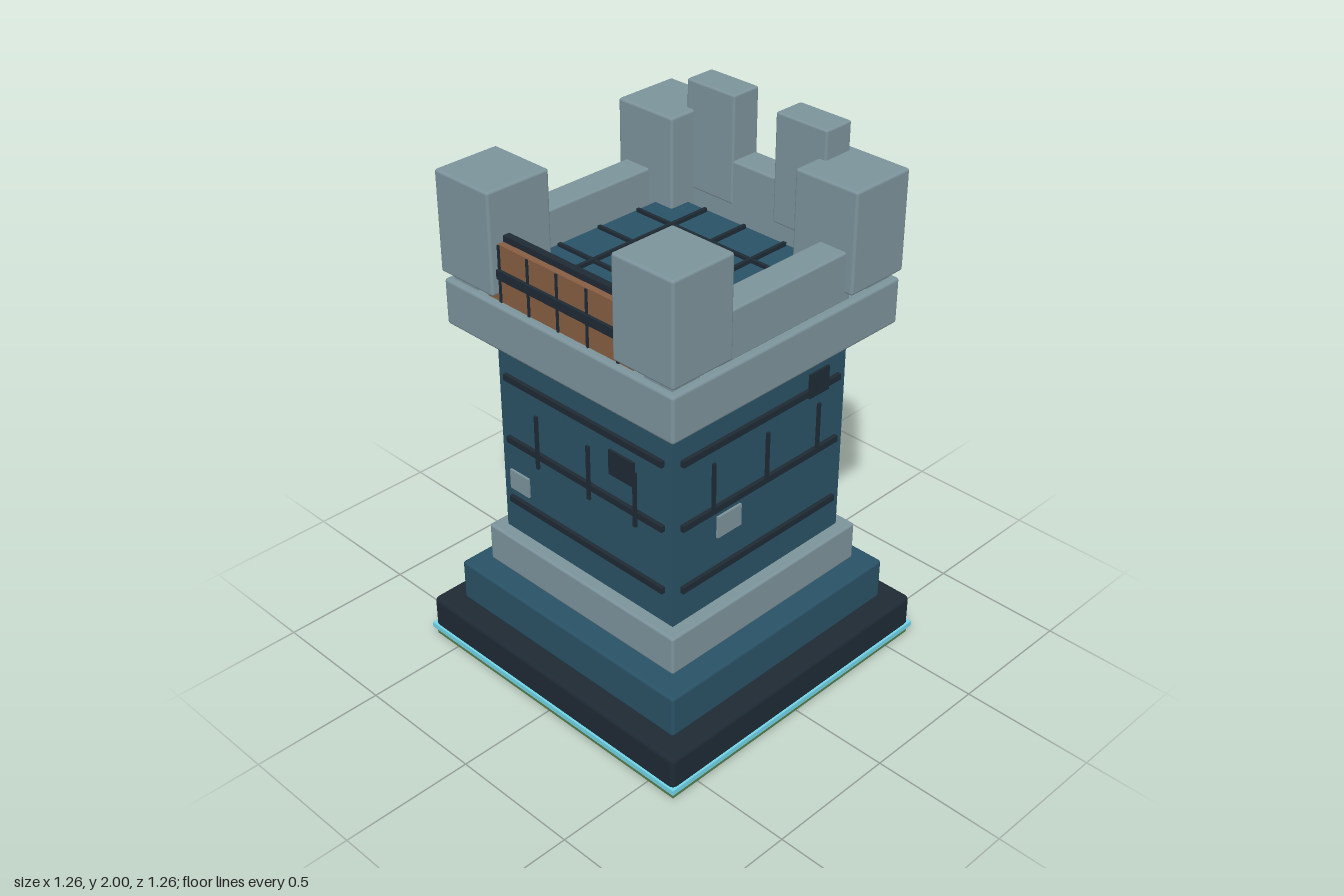
import * as THREE from 'three';
import { RoundedBoxGeometry } from 'three/addons/geometries/RoundedBoxGeometry.js';

const material = (name, color) => {
  const m = new THREE.MeshStandardMaterial({ color });
  m.name = name;
  return m;
};

export function createModel() {
  const stone = material('grey stone', 0x7c939b);
  const blue = material('blue masonry', 0x295165);
  const dark = material('dark slate', 0x1e2a34);
  const wood = material('brown wood', 0x865e42);
  const cyan = material('cyan trim', 0x72d6ea);
  const green = material('green ground', 0x577d4b);

  const tower = new THREE.Group();
  tower.name = 'tower';

  // Box given by its limits on each axis; radius > 0 softens the edges
  function box(name, mat, [x0, x1], [y0, y1], [z0, z1], radius = 0, parent = tower) {
    const size = [x1 - x0, y1 - y0, z1 - z0];
    const geo = radius ? new RoundedBoxGeometry(...size, 2, radius) : new THREE.BoxGeometry(...size);
    const mesh = new THREE.Mesh(geo, mat);
    mesh.name = name;
    mesh.position.set((x0 + x1) / 2, (y0 + y1) / 2, (z0 + z1) / 2);
    parent.add(mesh);
    return mesh;
  }
  const span = (c, w) => [c - w / 2, c + w / 2];
  const square = (name, mat, half, y, r) => box(name, mat, [-half, half], y, [-half, half], r);

  // Base, stepped plinth and shaft
  square('groundPlate', green, 0.618, [0, 0.022], 0);
  for (const s of [-1, 1]) {
    box('baseTrim', cyan, [-0.63, 0.63], [0.028, 0.048], span(s * 0.62, 0.02));
    box('baseTrim', cyan, span(s * 0.62, 0.02), [0.028, 0.048], [-0.61, 0.61]);
  }
  square('lowerPlinth', dark, 0.622, [0.03, 0.17], 0.02);
  square('middlePlinth', blue, 0.54, [0.168, 0.333], 0.012);
  square('upperPlinth', stone, 0.464, [0.347, 0.5], 0.01);
  square('shaft', blue, 0.416, [0.48, 1.36], 0);
  square('cornice', stone, 0.533, [1.328, 1.5], 0.012);

  // Mortar joints and thin odd bricks, laid out on a wall whose outside is +z
  function wall(name, angle, joints, bricks) {
    const g = new THREE.Group();
    g.name = name;
    for (const y of [0.637, 0.887, 1.138]) {
      box('bedJoint', dark, [-0.38, 0.38], span(y, 0.024), [0.41, 0.431], 0, g);
    }
    for (const [u, y0, y1] of joints) {
      box('verticalJoint', dark, span(u, 0.013), [y0, y1], [0.427, 0.436], 0, g);
    }
    for (const [mat, u0, u1, y0, y1] of bricks) {
      box('raisedBrick', mat, [u0, u1], [y0, y1], [0.438, 0.447], 0, g);
    }
    g.rotation.y = angle;
    tower.add(g);
  }
  wall('frontWall', 0,
    [[-0.218, 0.84, 1.052], [0.037, 0.84, 1.052], [0.258, 0.84, 1.052]],
    [[dark, 0.152, 0.268, 1.005, 1.1], [stone, -0.352, -0.257, 0.705, 0.782]]);
  wall('leftWall', Math.PI / 2,
    [[-0.242, 0.887, 1.08], [0.015, 0.887, 1.08], [0.27, 0.887, 1.08]],
    [[dark, 0.202, 0.298, 1.132, 1.225], [stone, -0.235, -0.123, 0.786, 0.87]]);
  wall('rightWall', -Math.PI / 2, [], [[dark, -0.17, -0.07, 0.56, 0.632]]);

  // Roof panel on a dark bed, with a grid of joints
  square('roofBed', dark, 0.356, [1.495, 1.53], 0);
  square('roof', blue, 0.358, [1.53, 1.558], 0);
  for (const c of [-0.183, 0, 0.183]) {
    box('roofJoint', dark, span(c, 0.013), [1.55, 1.572], [-0.35, 0.35]);
    box('roofJoint', dark, [-0.35, 0.35], [1.55, 1.57], span(c, 0.013));
  }

  // Corner merlons on small feet, side parapets and back merlons
  for (const sx of [-1, 1]) {
    for (const sz of [-1, 1]) {
      box('cornerMerlon', stone, span(sx * 0.408, 0.26), [1.526, 1.895], span(sz * 0.408, 0.26), 0.01);
      box('merlonFoot', stone, span(sx * 0.447, 0.12), [1.495, 1.535], span(sz * 0.45, 0.12));
    }
    box('sideParapet', stone, span(sx * 0.448, 0.115), [1.495, 1.675], [-0.31, 0.31], 0.008);
    box('backMerlon', stone, span(sx * 0.203, 0.22), [1.6, 2], span(-0.447, 0.122), 0.008);
  }
  box('backParapet', stone, [-0.34, 0.34], [1.495, 1.762], span(-0.447, 0.116), 0.008);

  // Timber screen in the front opening
  box('screenBacking', dark, [-0.38, 0.38], [1.287, 1.73], [0.455, 0.482]);
  box('screenPlanks', wood, [-0.338, 0.338], [1.312, 1.708], [0.48, 0.506]);
  for (let i = -2; i <= 2; i++) {
    box('plankSeam', dark, span(i * 0.136, 0.009), [1.314, 1.706], [0.5, 0.511]);
  }
  box('screenRail', dark, [-0.338, 0.338], [1.587, 1.62], [0.5, 0.518]);

  return tower;
}
